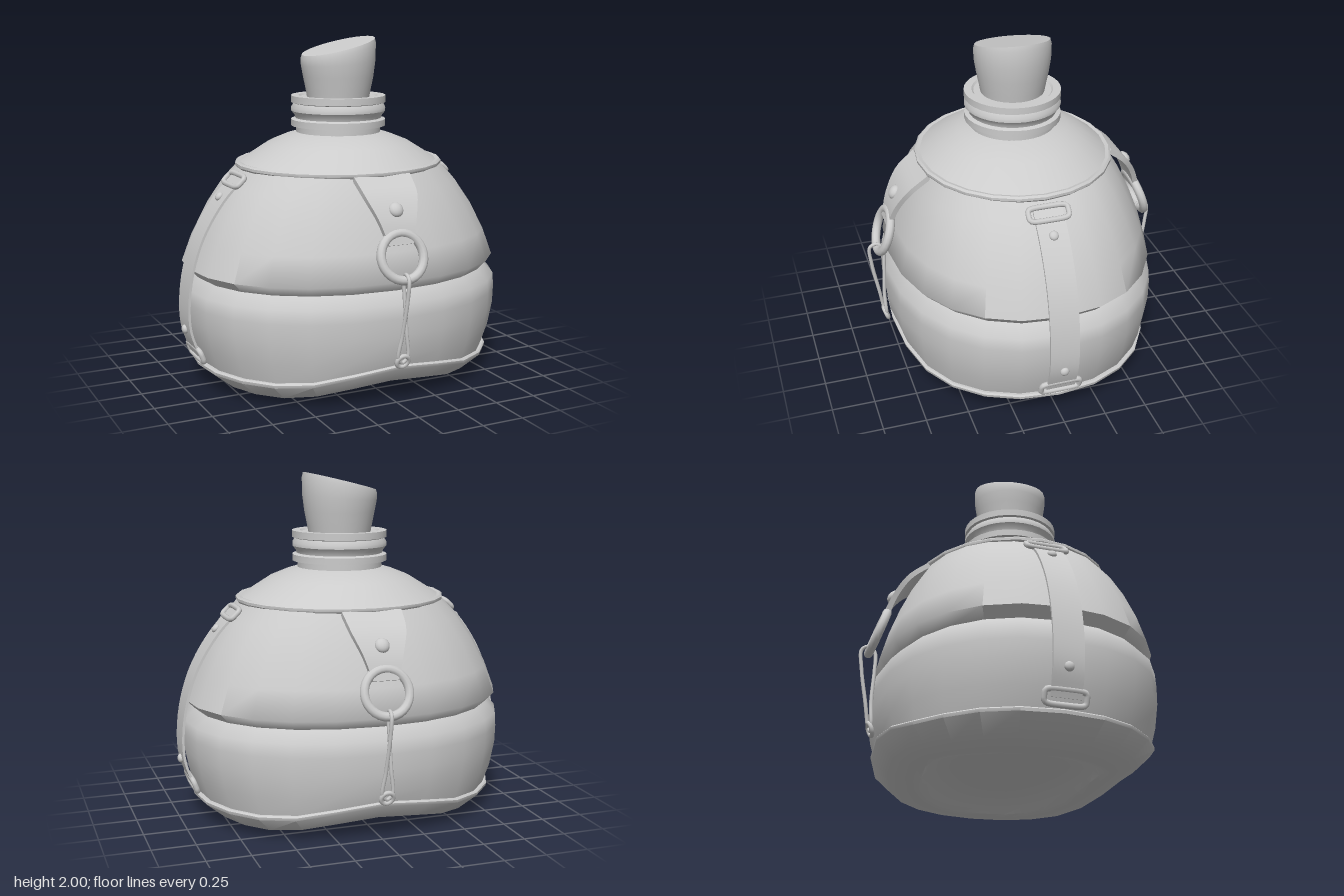
import * as THREE from 'three';
import { toCreasedNormals } from 'three/addons/utils/BufferGeometryUtils.js';

const mat = new THREE.MeshStandardMaterial({ color: 0xcccccc });

function mesh(name, geometry, parent) {
  const m = new THREE.Mesh(geometry, mat);
  m.name = name;
  parent.add(m);
  return m;
}

function indexed(pos, idx, crease) {
  const g = new THREE.BufferGeometry();
  g.setAttribute('position', new THREE.Float32BufferAttribute(pos, 3));
  g.setIndex(idx);
  return toCreasedNormals(g, crease);
}

// Point on a rounded oval; n = 2 is an ellipse, larger is squarer
function oval(t, rx, rz, n) {
  const c = Math.cos(t), s = Math.sin(t);
  return [Math.sign(c) * rx * Math.abs(c) ** (2 / n), Math.sign(s) * rz * Math.abs(s) ** (2 / n)];
}

// Skin through oval rings [rx, rz, y, bend], listed along the surface;
// bend scales the extra height given by lift(x)
function loft(rings, { seg = 24, n = 2, lift = () => 0, crease = 0.7 } = {}) {
  const pos = [], idx = [];
  rings.forEach(([rx, rz, y, bend = 0], i) => {
    for (let j = 0; j < seg; j++) {
      const [x, z] = oval((j / seg) * Math.PI * 2, rx, rz, n);
      pos.push(x, y + bend * lift(x), z);
      if (i + 1 < rings.length) {
        const a = i * seg + j, b = i * seg + ((j + 1) % seg);
        idx.push(a, a + seg, b, b, a + seg, b + seg);
      }
    }
  });
  return indexed(pos, idx, crease);
}

// Flat strap facing +z along points [out, y, halfWidth], listed downwards
function strap(points, thick, steps = 14) {
  const curve = new THREE.CatmullRomCurve3(points.map(([o, y, w]) => new THREE.Vector3(w, y, o)));
  const pos = [], idx = [], h = thick / 2;
  for (let i = 0; i <= steps; i++) {
    const p = curve.getPoint(i / steps), d = curve.getTangent(i / steps);
    const len = Math.hypot(d.y, d.z), ny = (d.z / len) * h, nz = (-d.y / len) * h;
    pos.push(p.x, p.y + ny, p.z + nz, -p.x, p.y + ny, p.z + nz);
    pos.push(-p.x, p.y - ny, p.z - nz, p.x, p.y - ny, p.z - nz);
    for (let k = 0; k < 4 && i < steps; k++) {
      const a = i * 4 + k, b = i * 4 + ((k + 1) % 4);
      idx.push(a, b, a + 4, b, b + 4, a + 4);
    }
  }
  const e = steps * 4;
  idx.push(0, 2, 1, 0, 3, 2, e, e + 1, e + 2, e, e + 2, e + 3);
  return indexed(pos, idx, 0.7);
}

function wire(points, r, closed, steps = 48) {
  const curve = new THREE.CatmullRomCurve3(points.map(p => new THREE.Vector3(...p)), closed);
  return new THREE.TubeGeometry(curve, steps, r, 8, closed);
}

// Domed rivet; tilt is the upward lean of the surface it sits on
function stud(parent, r, y, out, tilt) {
  const m = mesh('stud', new THREE.SphereGeometry(r, 14, 10), parent);
  m.scale.z = 0.7;
  m.position.set(0, y, out);
  m.rotation.x = -tilt;
}

function buckle(parent, y, out, tilt) {
  const pts = Array.from({ length: 24 }, (_, i) => [...oval((i / 24) * Math.PI * 2, 0.115, 0.04, 5), 0]);
  const m = mesh('buckle', wire(pts, 0.016, true), parent);
  m.position.set(0, y, out);
  m.rotation.x = -tilt;
}

// Tapered tab with ring and wire hook, facing +z
function ringTab() {
  const g = new THREE.Group();
  g.name = 'ringTab';
  mesh('tab', strap([[0.55, 1.25, 0.175], [0.66, 1.16, 0.16], [0.735, 1.04, 0.115], [0.775, 0.91, 0.075]], 0.03), g);
  stud(g, 0.043, 1.095, 0.72, 0.6);
  const ring = mesh('ring', new THREE.TorusGeometry(0.13, 0.026, 10, 28), g);
  ring.position.set(0, 0.85, 0.8);
  ring.rotation.x = -0.33;
  mesh('hook', wire([
    [0, 0.76, 0.84], [-0.005, 0.74, 0.885], [-0.01, 0.62, 0.88], [-0.02, 0.42, 0.845], [-0.03, 0.28, 0.82],
    [0, 0.25, 0.81], [0.03, 0.28, 0.815], [0.02, 0.42, 0.82], [0.012, 0.6, 0.81], [0.005, 0.72, 0.81],
  ], 0.011, true, 70), g);
  const eye = mesh('hookEye', new THREE.TorusGeometry(0.036, 0.013, 8, 18), g);
  eye.position.set(0, 0.26, 0.815);
  eye.rotation.x = 0.35;
  return g;
}

// Long strap held by two buckles, facing +z
function sideStrap() {
  const g = new THREE.Group();
  g.name = 'sideStrap';
  mesh('strap', strap([
    [0.645, 1.21, 0.085], [0.76, 1.09, 0.085], [0.88, 0.9, 0.085], [0.95, 0.7, 0.085],
    [0.978, 0.5, 0.085], [0.97, 0.35, 0.085], [0.92, 0.2, 0.085],
  ], 0.014, 24), g);
  stud(g, 0.027, 1.11, 0.757, 0.75);
  stud(g, 0.027, 0.35, 0.981, -0.12);
  buckle(g, 1.2, 0.665, 0.8);
  buckle(g, 0.205, 0.918, -0.35);
  return g;
}

export function createModel() {
  const model = new THREE.Group();
  model.name = 'flask';
  // The base arches up in the middle of its width
  const arch = x => 0.0375 * (1 + Math.cos(Math.PI * Math.min(Math.abs(x) / 0.65, 1)));

  // Bulging body with a pinched waist groove
  mesh('body', loft([
    [0.88, 0.76, 0.14, 1], [0.925, 0.785, 0.26, 0.3], [0.955, 0.8, 0.4], [0.96, 0.8, 0.5], [0.955, 0.795, 0.58],
    [0.89, 0.735, 0.645], [0.945, 0.78, 0.7], [0.885, 0.735, 0.86], [0.8, 0.675, 1.02],
    [0.7, 0.61, 1.16], [0.6, 0.55, 1.26],
  ], { n: 2.2, lift: arch, crease: 1.1 }), model);

  // Base tray with lip and recessed underside
  mesh('base', loft([
    [0, 0, 0.07, 1], [0.35, 0.3, 0.06, 1], [0.55, 0.46, 0.035, 1], [0.58, 0.49, 0.005, 1], [0.64, 0.55, 0, 1],
    [0.79, 0.68, 0.03, 1], [0.905, 0.775, 0.125, 1], [0.908, 0.778, 0.142, 1], [0.9, 0.77, 0.15, 1],
    [0.87, 0.75, 0.15, 1],
  ], { n: 2.2, lift: arch }), model);

  // Shoulder plate with rolled edge
  mesh('shoulder', loft([
    [0.56, 0.51, 1.24], [0.6, 0.555, 1.235], [0.622, 0.575, 1.26], [0.622, 0.575, 1.275], [0.61, 0.563, 1.285],
    [0.59, 0.543, 1.28], [0.42, 0.41, 1.385], [0.32, 0.32, 1.425], [0.25, 0.25, 1.445],
  ]), model);

  // Ribbed neck
  mesh('neck', loft([
    [0.25, 1.43], [0.25, 1.48], [0.28, 1.482], [0.28, 1.52], [0.255, 1.528], [0.26, 1.545], [0.28, 1.57],
    [0.28, 1.59], [0.265, 1.615], [0.28, 1.62], [0.28, 1.66], [0.235, 1.66], [0.225, 1.65], [0.16, 1.65],
  ].map(([r, y]) => [r, r, y]), { seg: 32, crease: 0.6 }), model);

  // Stopper cut off at a slant
  mesh('stopper', loft([
    [0.18, 1.62], [0.19, 1.68], [0.208, 1.77], [0.22, 1.85, 0.3], [0.222, 1.92, 0.9], [0.215, 1.946, 1], [0, 1.946, 1],
  ].map(([r, y, b]) => [r, r, y, b]), { seg: 32, lift: x => x * 0.25 }), model);

  // Fittings on all four sides
  for (const turn of [0, Math.PI]) {
    const tab = ringTab(), side = sideStrap();
    tab.rotation.y = turn;
    side.rotation.y = turn + Math.PI / 2;
    model.add(tab, side);
  }
  return model;
}
